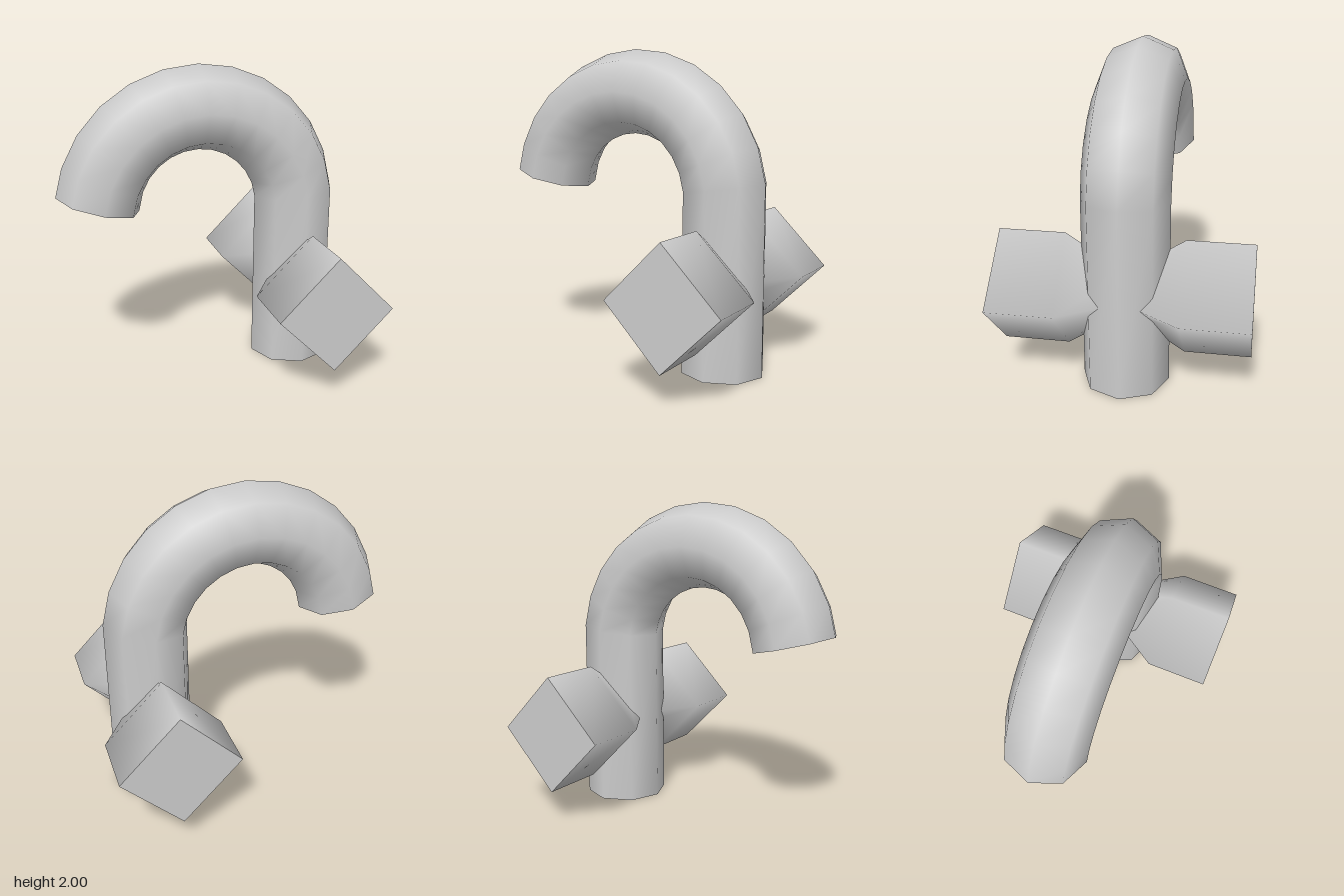
import * as THREE from 'three';

const steel = new THREE.MeshStandardMaterial({ color: 0xcccccc });
steel.name = 'plainGrey';

const SIDES = 8, R = 0.267;          // pipe section
const ARC = 0.653, CX = -0.055, CY = 1.08; // hook bend
const POST_X = 0.595;

function addMesh(group, geometry, name) {
  const mesh = new THREE.Mesh(geometry, steel);
  mesh.name = name;
  group.add(mesh);
  return mesh;
}

// Rings along the pipe: centre and tilt of each section
function pipeRings() {
  const rings = [{ x: POST_X, y: 0, tilt: 0 }];
  const step = THREE.MathUtils.degToRad(13.85);
  for (let k = -6; k <= 6; k++) {
    const a = Math.PI / 2 + k * step;
    rings.push({
      x: CX + ARC * Math.cos(a),
      y: CY + ARC * Math.sin(a),
      tilt: k === 6 ? a - step / 2 : a, // open end is cut square to the last segment
    });
  }
  return rings;
}

function pipeGeometry(rings) {
  const pos = [], index = [];
  rings.forEach(({ x, y, tilt }, i) => {
    for (let j = 0; j < SIDES; j++) {
      const t = (j / SIDES) * Math.PI * 2;
      const c = R * Math.cos(t);
      pos.push(x + c * Math.cos(tilt), y + c * Math.sin(tilt), R * Math.sin(t));
      if (i === rings.length - 1) continue;
      const a = i * SIDES + j, b = i * SIDES + (j + 1) % SIDES;
      index.push(a, a + SIDES, b, b, a + SIDES, b + SIDES);
    }
  });
  const geo = new THREE.BufferGeometry();
  geo.setAttribute('position', new THREE.Float32BufferAttribute(pos, 3));
  geo.setIndex(index);
  geo.computeVertexNormals();
  return geo;
}

export function createModel() {
  const group = new THREE.Group();
  group.name = 'hookWithCrossbar';

  // Curved pipe and its two flat ends
  const rings = pipeRings();
  addMesh(group, pipeGeometry(rings), 'hookPipe');
  [[rings[0], -1, 'pipeBase'], [rings[rings.length - 1], 1, 'hookEnd']].forEach(([r, s, name]) => {
    const cap = addMesh(group, new THREE.CircleGeometry(R, SIDES), name);
    cap.position.set(r.x, r.y, 0);
    cap.lookAt(r.x - s * Math.sin(r.tilt), r.y + s * Math.cos(r.tilt), 0);
  });

  // Four-sided crossbar, narrowing where it passes through the pipe
  const bar = new THREE.Group();
  bar.name = 'crossbar';
  bar.position.set(POST_X, 0.57, 0);
  const profile = [[0.37, -0.765], [0.37, -0.36], [0.137, 0], [0.37, 0.36], [0.37, 0.765]];
  const sides = new THREE.LatheGeometry(profile.map(([r, y]) => new THREE.Vector2(r, y)), 4);
  sides.rotateX(Math.PI / 2);
  addMesh(bar, sides, 'crossbarSides');
  for (const s of [1, -1]) {
    const cap = addMesh(bar, new THREE.CircleGeometry(0.37, 4), s > 0 ? 'crossbarFrontEnd' : 'crossbarBackEnd');
    cap.position.z = s * 0.765;
    if (s < 0) cap.rotation.y = Math.PI;
  }
  group.add(bar);
  return group;
}
